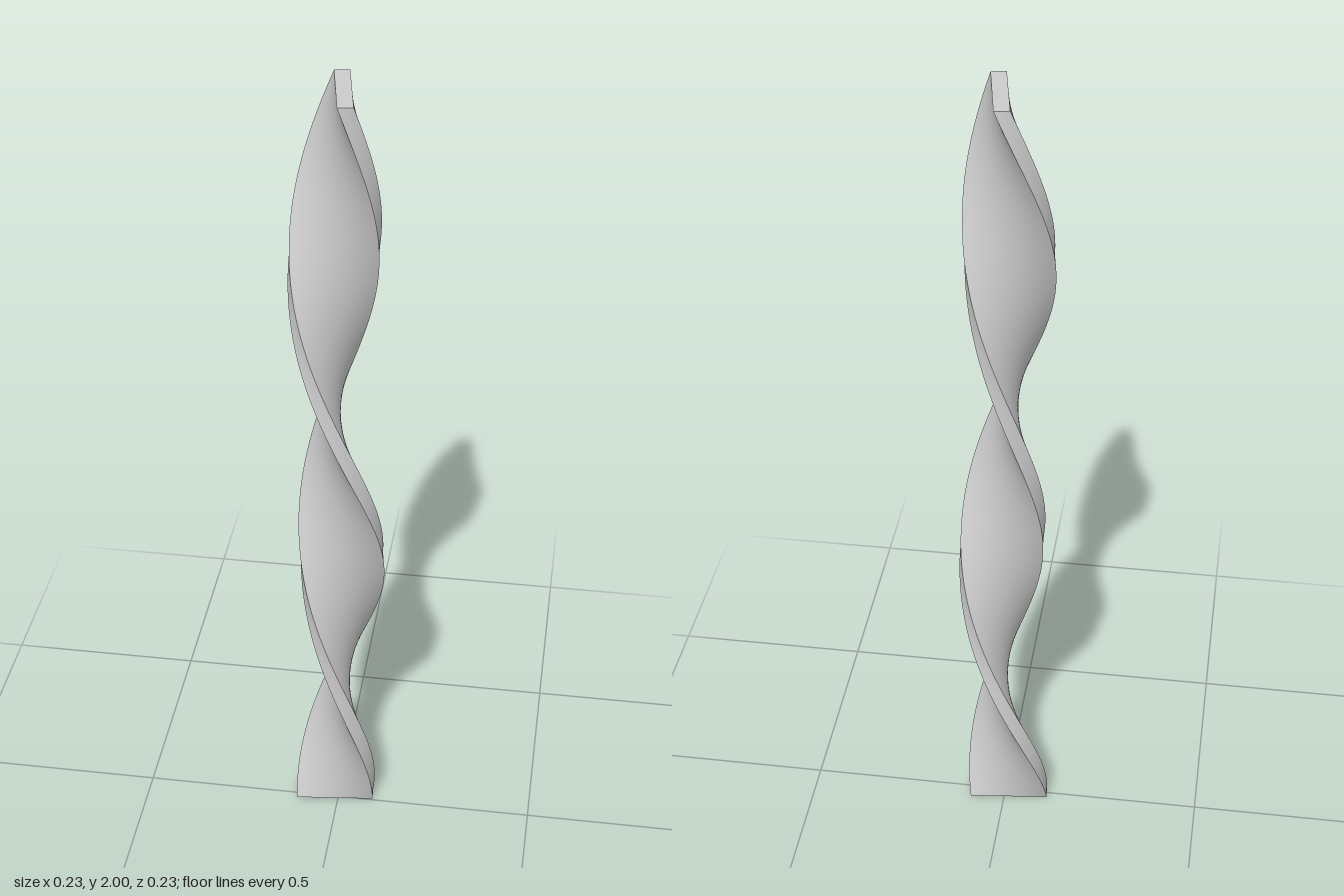
import * as THREE from 'three';

const HEIGHT = 2, WIDTH = 0.2, THICKNESS = 0.035;
const START = THREE.MathUtils.degToRad(-6.5); // heading of the flat at the base
const END = THREE.MathUtils.degToRad(440);    // heading at the top

// Flat bar, slightly off its axis, twisted steadily from base to top
function twistedBar() {
  const geometry = new THREE.BoxGeometry(WIDTH, HEIGHT, THICKNESS, 14, 180, 3);
  geometry.translate(-0.009, HEIGHT / 2, -0.0118);
  const axis = new THREE.Vector3(0, 1, 0);
  const position = geometry.attributes.position;
  const v = new THREE.Vector3();
  for (let i = 0; i < position.count; i++) {
    v.fromBufferAttribute(position, i);
    v.applyAxisAngle(axis, -THREE.MathUtils.lerp(START, END, v.y / HEIGHT));
    position.setXYZ(i, v.x, v.y, v.z);
  }
  // Box sides share no vertices, so faces turn smooth while edges stay sharp
  geometry.computeVertexNormals();
  return geometry;
}

export function createModel() {
  const group = new THREE.Group();
  group.name = 'twistedColumn';
  const bar = new THREE.Mesh(
    twistedBar(),
    new THREE.MeshStandardMaterial({ color: 0xcccccc })
  );
  bar.name = 'twistedBar';
  group.add(bar);
  return group;
}
